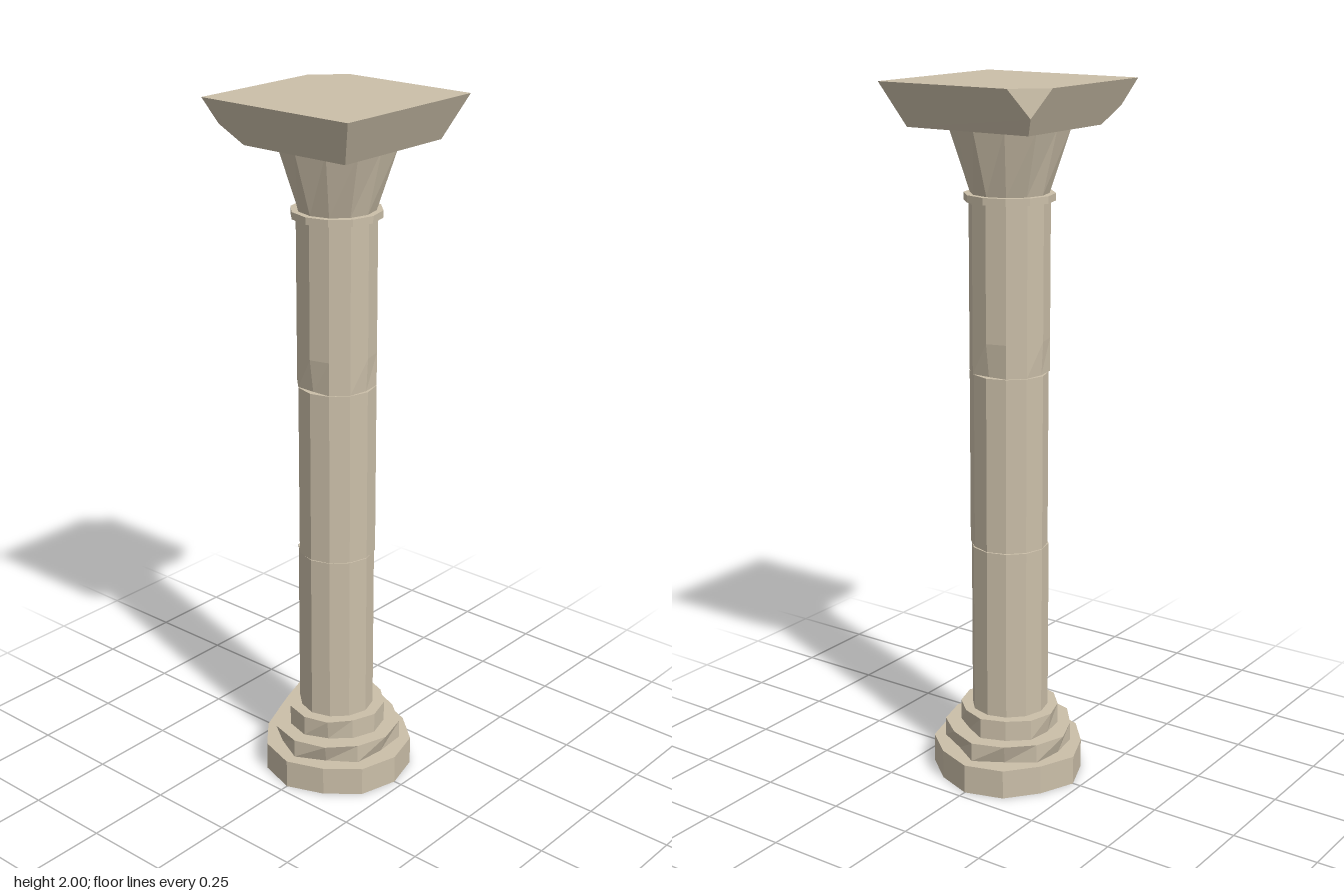
import * as THREE from 'three';
import { ConvexGeometry } from 'three/addons/geometries/ConvexGeometry.js';

const SIDES = 12;
const stone = new THREE.MeshStandardMaterial({ color: 0xcbbfa9, flatShading: true });

// Twelve-sided drum; scale(k, t) adjusts the radius of corner k at height fraction t
function drum(name, y0, y1, r0, r1, scale = () => 1, rows = 1) {
  const h = y1 - y0;
  const geo = new THREE.CylinderGeometry(r1, r0, h, SIDES, rows);
  const p = geo.attributes.position;
  for (let i = 0; i < p.count; i++) {
    const x = p.getX(i), z = p.getZ(i), t = p.getY(i) / h + 0.5;
    if (Math.hypot(x, z) < 1e-6) continue;
    const k = (Math.round(Math.atan2(x, z) / (2 * Math.PI) * SIDES) + SIDES) % SIDES;
    const s = scale(k, t);
    p.setX(i, x * s);
    p.setZ(i, z * s);
  }
  geo.computeVertexNormals();
  const mesh = new THREE.Mesh(geo, stone);
  mesh.name = name;
  mesh.position.y = (y0 + y1) / 2;
  return mesh;
}

// Worn corners: a repeatable small dent per corner
const worn = (amount, phase) => k => 1 - amount * (0.5 + 0.5 * Math.sin(k * 2.6 + phase)) * (k % 3 ? 1 : 0);

// Square slab flaring upward, with two broken corners
function makeAbacus() {
  const y0 = 1.88, y1 = 2, a = 0.195, b = 0.248;
  const pts = [
    // bottom, front-right corner chipped from below
    [a, y0, a], [a, y0, -a], [-a, y0, -a],
    [-0.15, y0, a], [-a, y0, 0.15], [-0.217, 1.93, 0.217],
    // top, back-right corner chipped from above
    [b, y1, b], [b, y1, -b], [-b, y1, b],
    [-0.165, y1, -b], [-b, y1, -0.165], [-0.215, 1.925, -0.215],
  ].map(c => new THREE.Vector3(...c));
  const mesh = new THREE.Mesh(new ConvexGeometry(pts), stone);
  mesh.name = 'abacus';
  return mesh;
}

export function createModel() {
  const column = new THREE.Group();
  column.name = 'column';

  // Stepped base
  const base = new THREE.Group();
  base.name = 'base';
  base.add(
    drum('lowerStep', 0, 0.085, 0.225, 0.225, worn(0.07, 0)),
    drum('middleStep', 0.085, 0.14, 0.19, 0.19,
      (k, t) => worn(0.06, 1)(k) * (t < 0.5 && k % 2 ? 0.9 : 1)),
    drum('upperStep', 0.14, 0.2, 0.146, 0.146,
      (k, t) => worn(0.05, 2)(k) * (t < 0.5 && k % 4 === 1 ? 0.92 : 1)),
  );

  // Shaft of three drums, the top one flaked at its lower edge
  const flakes = { 0: 0.88, 3: 0.95, 6: 0.88, 9: 0.95 };
  const shaft = new THREE.Group();
  shaft.name = 'shaft';
  shaft.add(
    drum('lowerDrum', 0.2, 0.699, 0.112, 0.112, worn(0.03, 4)),
    drum('middleDrum', 0.701, 1.204, 0.112, 0.112, worn(0.03, 1)),
    drum('upperDrum', 1.206, 1.68, 0.112, 0.112,
      (k, t) => (t < 0.1 && flakes[k]) || 1, 5),
  );

  // Collar, fluted capital and slab
  const capital = new THREE.Group();
  capital.name = 'capital';
  capital.add(
    drum('collar', 1.68, 1.7, 0.126, 0.126),
    drum('bell', 1.7, 1.88, 0.108, 0.167, (k, t) => (k % 2 ? 1 - 0.08 * t : 1)),
    makeAbacus(),
  );

  column.add(base, shaft, capital);
  return column;
}
